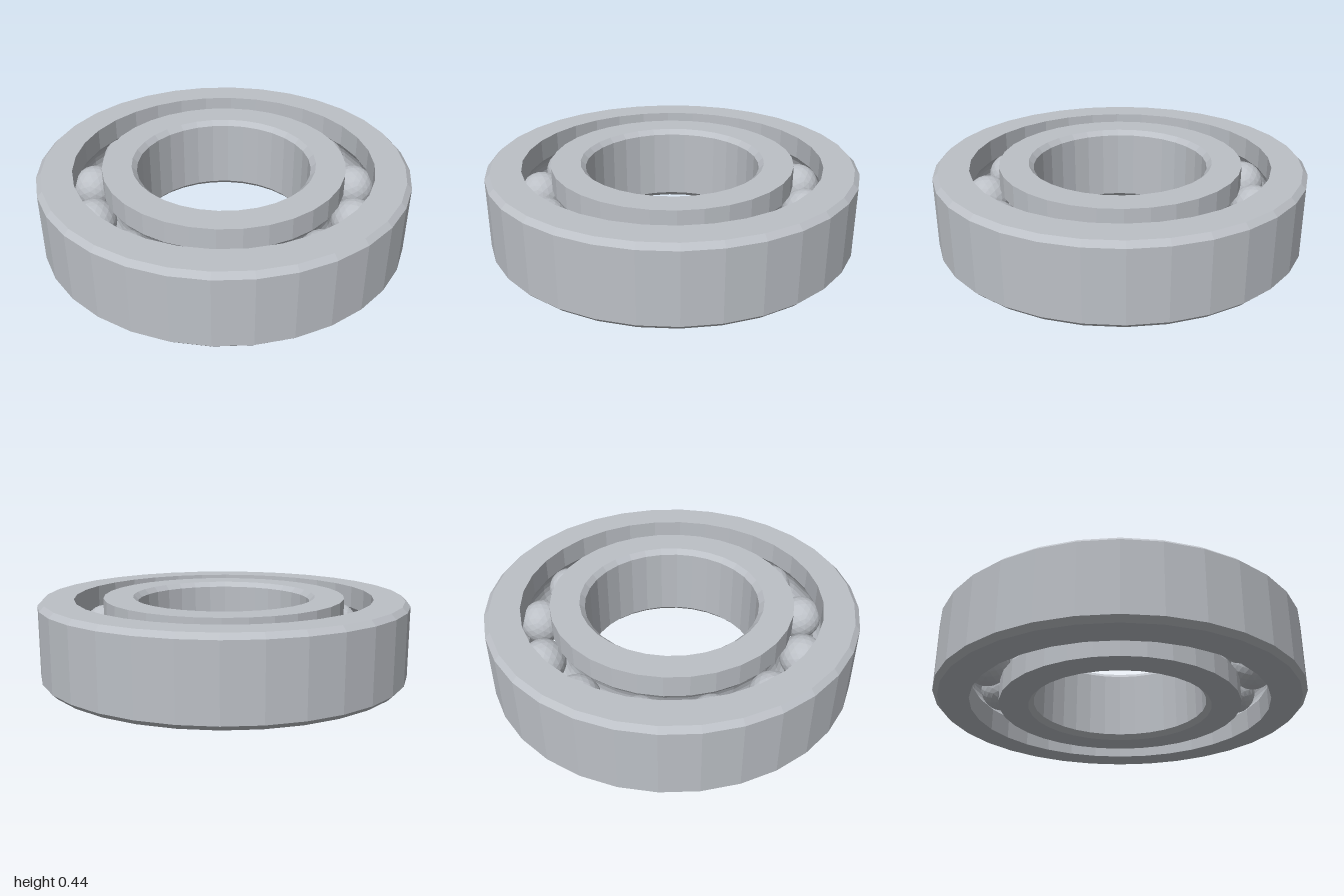
import * as THREE from 'three';

const HEIGHT = 0.435, MID = HEIGHT / 2;
const BEVEL = 0.027;
const PITCH = 0.73, BALL_R = 0.12, BALLS = 13;
const OUTER_RACE = 0.81, INNER_RACE = 0.655;
const SEGMENTS = 32;

// Faceted normals, one per triangle
function faceted(geometry) {
  const flat = geometry.index ? geometry.toNonIndexed() : geometry;
  flat.computeVertexNormals();
  return flat;
}

// Arc of the ball groove cut into a race; side is +1 (outer ring) or -1 (inner ring)
function groove(raceRadius, side) {
  const r = BALL_R + 0.003;
  const half = Math.acos(Math.abs(raceRadius - PITCH) / r);
  const points = [], steps = 8;
  for (let i = 0; i <= steps; i++) {
    const a = half * (1 - (2 * i) / steps) * side;
    points.push([PITCH + side * r * Math.cos(a), MID + r * Math.sin(a)]);
  }
  return points;
}

// Spins a closed profile of [radius, height] points
function ring(name, profile, material) {
  const points = [...profile, profile[0]].map(([r, y]) => new THREE.Vector2(r, y));
  const mesh = new THREE.Mesh(faceted(new THREE.LatheGeometry(points, SEGMENTS)), material);
  mesh.name = name;
  return mesh;
}

export function createModel() {
  const model = new THREE.Group();
  model.name = 'ballBearing';
  const steel = new THREE.MeshStandardMaterial({ color: 0xbcc0c6 });
  steel.name = 'steel grey';

  // Outer ring: bevelled rim outside, grooved race inside
  model.add(ring('outerRing', [
    [1 - BEVEL, 0], [1, BEVEL], [1, HEIGHT - BEVEL], [1 - BEVEL, HEIGHT],
    [OUTER_RACE, HEIGHT], ...groove(OUTER_RACE, 1), [OUTER_RACE, 0],
  ], steel));

  // Inner ring: grooved race outside, bevelled bore inside
  const bore = 0.47;
  model.add(ring('innerRing', [
    [INNER_RACE, 0], ...groove(INNER_RACE, -1), [INNER_RACE, HEIGHT],
    [bore + BEVEL, HEIGHT], [bore, HEIGHT - BEVEL], [bore, BEVEL], [bore + BEVEL, 0],
  ], steel));

  // Balls spaced evenly around the race
  const balls = new THREE.Group();
  balls.name = 'balls';
  const ballGeometry = faceted(new THREE.IcosahedronGeometry(BALL_R, 3));
  for (let i = 0; i < BALLS; i++) {
    const a = (i / BALLS) * Math.PI * 2;
    const ball = new THREE.Mesh(ballGeometry, steel);
    ball.name = 'ball';
    ball.position.set(PITCH * Math.cos(a), MID, PITCH * Math.sin(a));
    ball.rotation.y = -a;
    balls.add(ball);
  }
  model.add(balls);
  return model;
}
